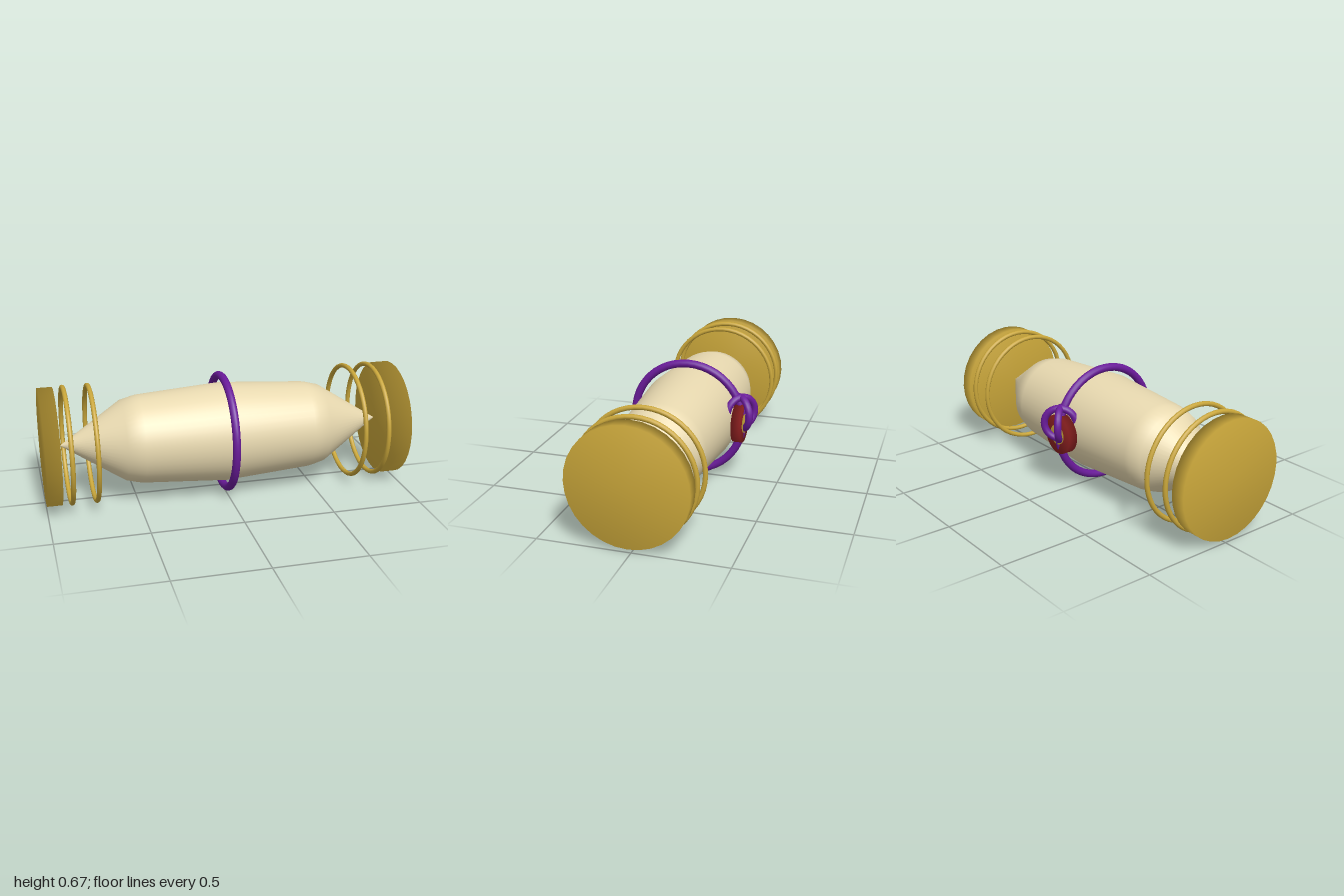
import * as THREE from 'three';

const AXIS_Y = 0.337, AXIS_Z = 0.02;

export function createModel() {
  const group = new THREE.Group();
  const paper = new THREE.MeshStandardMaterial({ color: 0xe8d9b0 });
  const gold = new THREE.MeshStandardMaterial({ color: 0xc9a63a });
  const purple = new THREE.MeshStandardMaterial({ color: 0x6a1b9a });
  const red = new THREE.MeshStandardMaterial({ color: 0x8b2020 });

  const add = (name, geometry, material, x, y = AXIS_Y, z = AXIS_Z) => {
    const mesh = new THREE.Mesh(geometry, material);
    mesh.name = name;
    mesh.position.set(x, y, z);
    group.add(mesh);
    return mesh;
  };
  // Closed turned solid from [radius, height] pairs, softly shaded
  const turned = (pairs, sides) =>
    new THREE.LatheGeometry(pairs.map(([r, h]) => new THREE.Vector2(r, h)), sides);
  const disc = (r, depth, sides = 32) =>
    turned([[0, -depth / 2], [r, -depth / 2], [r, depth / 2], [0, depth / 2]], sides);
  // Hoop around the long axis
  const hoop = (r, tube) => new THREE.TorusGeometry(r, tube, 12, 48).rotateY(Math.PI / 2);

  // Rolled body, swelling in the middle and tapering to points
  const half = [[0.275, 0], [0.243, 0.47], [0.237, 0.5], [0.22, 0.565], [0, 0.905]];
  const profile = [...half.slice(1).reverse().map(([r, h]) => [r, -h]), ...half];
  add('scrollBody', turned(profile, 48).rotateZ(-Math.PI / 2), paper, 0);

  // End caps and trim rings, mirrored
  for (const s of [-1, 1]) {
    const side = s > 0 ? 'left' : 'right';
    add(side + 'EndCap', disc(0.32, 0.08).rotateZ(-Math.PI / 2), gold, s * 0.96);
    add(side + 'OuterTrimRing', hoop(0.314, 0.013), gold, s * 0.866);
    add(side + 'InnerTrimRing', hoop(0.314, 0.013), gold, s * 0.732);
  }

  // Ribbon around the middle
  add('ribbonBand', hoop(0.314, 0.022), purple, 0);

  // Wax seal with its gold stamp on the back
  add('waxSeal', disc(0.11, 0.05).rotateX(-Math.PI / 2), red, 0, AXIS_Y, -0.278);
  add('sealStamp', disc(0.055, 0.012, 24).rotateX(-Math.PI / 2), gold, 0, AXIS_Y, -0.304);

  // Two crossed bow loops above the seal
  for (const s of [-1, 1]) {
    const loop = add(s > 0 ? 'leftBowLoop' : 'rightBowLoop',
      new THREE.TorusGeometry(0.088, 0.02, 12, 32), purple, 0, 0.397, -0.284);
    loop.rotation.y = s * Math.PI / 4;
  }
  return group;
}
